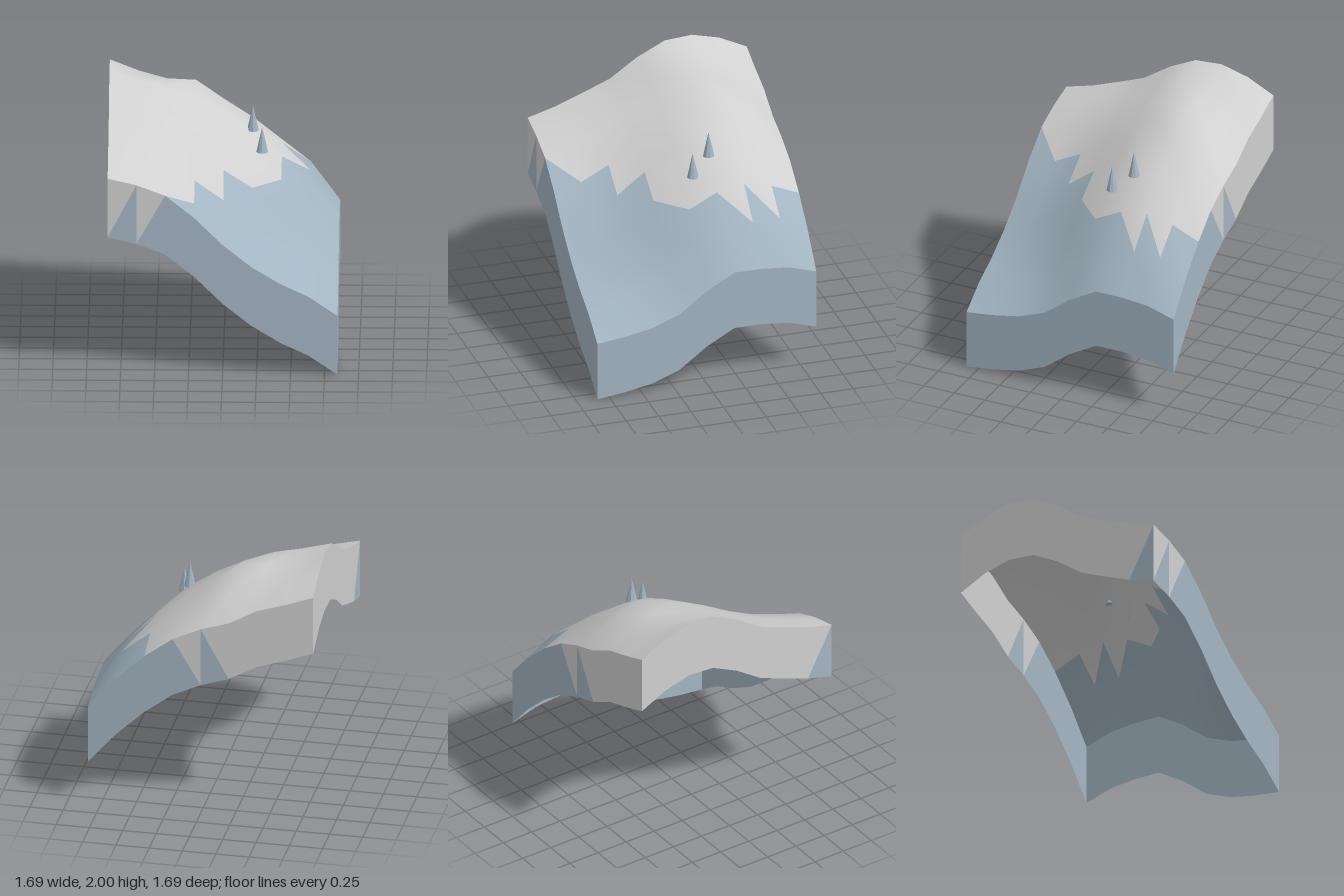
import * as THREE from 'three';

const N = 8, HALF = 0.845, DROP = 0.455;

// Ground heights: one row per z step from back to front, x runs left to right
const HEIGHTS = [
  [1.84, 1.76, 1.69, 1.57, 1.50, 1.40, 1.24, 1.04, 0.795],
  [1.945, 1.86, 1.80, 1.77, 1.64, 1.50, 1.33, 1.16, 0.86],
  [2.00, 1.90, 1.87, 1.86, 1.70, 1.54, 1.375, 1.16, 0.88],
  [1.985, 1.925, 1.875, 1.79, 1.68, 1.54, 1.34, 1.13, 0.88],
  [1.88, 1.83, 1.77, 1.67, 1.54, 1.40, 1.23, 1.00, 0.76],
  [1.735, 1.70, 1.64, 1.52, 1.37, 1.235, 1.04, 0.83, 0.60],
  [1.65, 1.61, 1.53, 1.36, 1.21, 1.05, 0.88, 0.72, 0.52],
  [1.57, 1.53, 1.45, 1.25, 1.09, 0.92, 0.76, 0.66, 0.48],
  [1.51, 1.46, 1.38, 1.21, 1.00, 0.83, 0.70, 0.60, 0.455],
];

// Column where the blue slope begins in each row; .5 means only the lower half of that cell
const BLUE_START = [6, 6.5, 6.5, 6, 5.5, 4, 3, 2.5];

const at = (k) => -HALF + (2 * HALF * k) / N;
const top = (i, j) => [at(i), HEIGHTS[j][i], at(j)];

// Two-colour mesh: snow triangles first, then slope triangles
function twoTone(name, points, snowTris, slopeTris, materials) {
  const geo = new THREE.BufferGeometry();
  geo.setAttribute('position', new THREE.Float32BufferAttribute(points.flat(), 3));
  geo.setIndex([...snowTris, ...slopeTris]);
  geo.addGroup(0, snowTris.length, 0);
  geo.addGroup(snowTris.length, slopeTris.length, 1);
  geo.computeVertexNormals();
  const mesh = new THREE.Mesh(geo, materials);
  mesh.name = name;
  return mesh;
}

// Smooth hillside split along cell diagonals into snow and slope
function hillside(materials) {
  const points = [], snow = [], slope = [];
  for (let j = 0; j <= N; j++) for (let i = 0; i <= N; i++) points.push(top(i, j));
  for (let j = 0; j < N; j++) {
    for (let i = 0; i < N; i++) {
      const a = j * (N + 1) + i, b = a + 1, c = a + N + 1, d = c + 1;
      (i >= BLUE_START[j] ? slope : snow).push(a, c, b);
      (i + 0.5 >= BLUE_START[j] ? slope : snow).push(b, c, d);
    }
  }
  return twoTone('hillside', points, snow, slope, materials);
}

// Side wall below one edge; upper and lower triangles turn blue from the given cells
function wall(name, edge, upperBlue, lowerBlue, reversed, materials) {
  const points = [], snow = [], slope = [];
  for (let k = 0; k <= N; k++) {
    const [x, y, z] = edge(k);
    points.push([x, y, z], [x, y - DROP, z]);
  }
  const add = (list, a, b, c) => (reversed ? list.push(a, c, b) : list.push(a, b, c));
  for (let k = 0; k < N; k++) {
    const t = 2 * k;
    add(k >= upperBlue ? slope : snow, t, t + 1, t + 2);
    add(k >= lowerBlue ? slope : snow, t + 1, t + 3, t + 2);
  }
  return twoTone(name, points, snow, slope, materials);
}

export function createModel() {
  const snow = new THREE.MeshStandardMaterial({ color: 0xd0d0d0 });
  snow.name = 'pale grey';
  const slope = new THREE.MeshStandardMaterial({ color: 0xa3b5c2 });
  slope.name = 'grey blue';
  // The block is an open shell underneath
  snow.side = slope.side = THREE.DoubleSide;
  const materials = [snow, slope];

  const model = new THREE.Group();
  model.name = 'hillTile';
  model.add(
    hillside(materials),
    wall('frontWall', (k) => top(k, N), 2, 0, false, materials),
    wall('backWall', (k) => top(k, 0), 5, 3, true, materials),
    wall('lowSideWall', (k) => top(N, k), 0, 0, true, materials),
    wall('highSideWall', (k) => top(0, k), 8, 7, false, materials),
  );

  // Small eight-sided trees
  const treeGeo = new THREE.ConeGeometry(0.043, 0.195, 8).toNonIndexed();
  treeGeo.computeVertexNormals();
  for (const [x, y, z] of [[0.21, 1.54, -0.215], [0.28, 1.42, -0.07]]) {
    const tree = new THREE.Mesh(treeGeo, slope);
    tree.name = 'tree';
    tree.position.set(x, y + 0.0975, z);
    model.add(tree);
  }
  return model;
}
